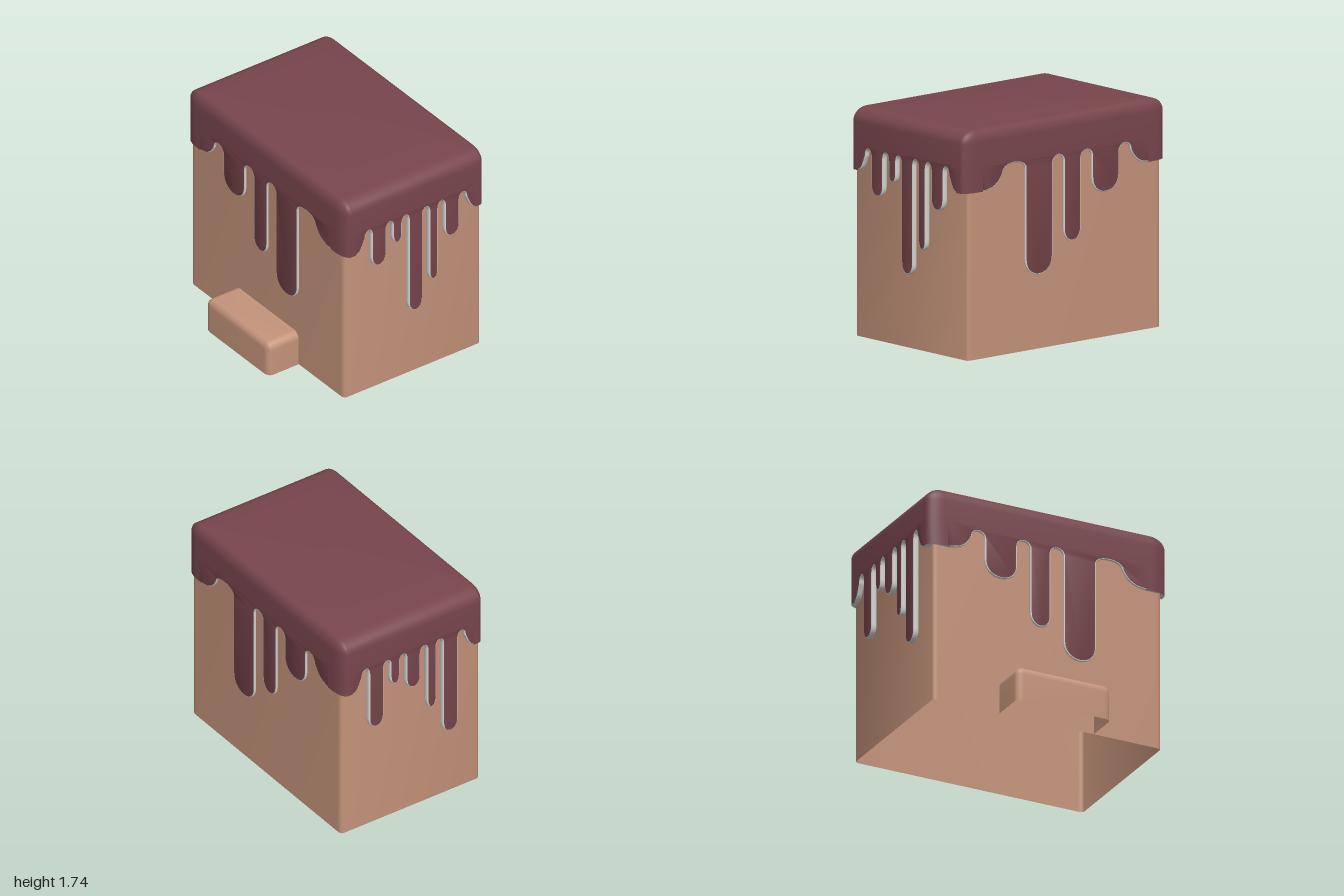
import * as THREE from 'three';
import { toCreasedNormals } from 'three/addons/utils/BufferGeometryUtils.js';

const mat = (name, color, side = THREE.FrontSide) => {
  const m = new THREE.MeshStandardMaterial({ color, side });
  m.name = name;
  return m;
};

const LOW = 1.27;      // plain lower edge of the icing
const ARCH = 1.39;     // where the arches between drips begin
const TOP = 1.5;       // panels run up behind the cap to here
const HX = 1, HZ = 0.65, RX = 0.13, RZ = 0.06;   // icing half sizes and corner radii

// Corner points of an elliptical quarter, in order
function quarter(cx, cz, rx, rz, start, n = 8) {
  return Array.from({ length: n + 1 }, (_, i) => {
    const a = start + (i / n) * Math.PI / 2;
    return [cx + rx * Math.cos(a), cz + rz * Math.sin(a)];
  });
}

// Rounded-rectangle outline
function outline(hx, hz, rx, rz) {
  const signs = [[1, 1], [-1, 1], [-1, -1], [1, -1]];
  return signs.flatMap(([sx, sz], i) =>
    quarter(sx * (hx - rx), sz * (hz - rz), rx, rz, i * Math.PI / 2));
}

// Box open underneath, with rounded uprights and an optional rounded top (ry)
function openBox(hx, hz, y0, y1, rx, rz, ry = 0) {
  const rings = [[y0, 0]];
  if (ry) for (let i = 0; i <= 8; i++) rings.push([y1 - ry, (i / 8) * 1.56]);
  else rings.push([y1, 0]);
  const pos = [], index = [];
  let n = 0;
  for (const [y, a] of rings) {
    const c = Math.cos(a);
    const pts = outline(hx - rx * (1 - c), hz - rz * (1 - c), rx * c, rz * c);
    n = pts.length;
    for (const [x, z] of pts) pos.push(x, y + ry * Math.sin(a), z);
  }
  for (let r = 0; r < rings.length - 1; r++) {
    for (let i = 0; i < n; i++) {
      const a = r * n + i, b = r * n + (i + 1) % n;
      index.push(a, a + n, b, b, a + n, b + n);
    }
  }
  const last = (rings.length - 1) * n;
  pos.push(0, y1, 0);
  for (let i = 0; i < n; i++) index.push(last + n, last + (i + 1) % n, last + i);
  const g = new THREE.BufferGeometry();
  g.setAttribute('position', new THREE.Float32BufferAttribute(pos, 3));
  g.setIndex(index);
  return g;
}

// Icing panel with drips; each drip is [left, right, tip height]
function dripPanel({ half, lowL, archL, drips, archR, lowR, inner, outer, bevel }) {
  const s = new THREE.Shape();
  s.moveTo(-half, TOP);
  s.lineTo(-half, LOW);
  s.lineTo(lowL, LOW);
  s.bezierCurveTo(lowL + (archL - lowL) * 0.6, LOW, archL - 0.03, 1.33, archL, ARCH);
  let x = archL;
  const arch = (to) => s.bezierCurveTo(x, ARCH + 0.073, to, ARCH + 0.073, to, ARCH);
  for (const [x0, x1, tip] of drips) {
    const h = 0.05 + (x1 - x0) * 0.3;
    arch(x0);
    s.lineTo(x0, tip + h);
    s.bezierCurveTo(x0, tip - h / 3, x1, tip - h / 3, x1, tip + h);
    s.lineTo(x1, ARCH);
    x = x1;
  }
  arch(archR);
  s.bezierCurveTo(archR + 0.03, 1.33, archR + (lowR - archR) * 0.4, LOW, lowR, LOW);
  s.lineTo(half, LOW);
  s.lineTo(half, TOP);
  const g = new THREE.ExtrudeGeometry(s, {
    depth: outer - inner - 2 * bevel, bevelEnabled: true, bevelThickness: bevel,
    bevelSize: 0.01, bevelOffset: -0.01, bevelSegments: 3, curveSegments: 14,
  });
  g.translate(0, 0, inner + bevel);
  return toCreasedNormals(g, 0.7);
}

export function createModel() {
  const biscuit = mat('biscuit', 0xc4937a, THREE.DoubleSide);
  const icing = mat('icing', 0x78464c);
  const rim = mat('icing rim', 0xd6d6d2);
  const model = new THREE.Group();
  model.name = 'icedHouse';

  const add = (parent, name, geometry, material) => {
    const m = new THREE.Mesh(geometry, material);
    m.name = name;
    parent.add(m);
    return m;
  };

  // Body, hollow and open underneath
  add(model, 'body', toCreasedNormals(openBox(0.955, 0.63, 0, 1.6, 0.04, 0.025), 0.6), biscuit)
    .position.z = -0.13;

  // Doorstep, its back flattened against the wall
  const step = openBox(0.395, 0.17, 0, 0.28, 0.06, 0.04, 0.06);
  step.translate(-0.005, 0, 0.61);
  const p = step.attributes.position;
  for (let i = 0; i < p.count; i++) p.setZ(i, Math.max(p.getZ(i), 0.501));
  add(model, 'doorstep', toCreasedNormals(step, 0.6), biscuit);

  // Icing cap
  const frosting = new THREE.Group();
  frosting.name = 'frosting';
  frosting.position.z = -0.13;
  model.add(frosting);
  add(frosting, 'icingCap', toCreasedNormals(openBox(HX, HZ, 1.455, 1.74, RX, RZ, 0.1), 0.6), icing);

  // Corner pieces
  for (const sx of [1, -1]) for (const sz of [1, -1]) {
    const pts = [[HX, 0.55], ...quarter(HX - RX, HZ - RZ, RX, RZ, 0), [0.82, HZ],
      [0.82, 0.631], [0.945, 0.631], [0.956, 0.62], [0.956, 0.55]];
    const shape = new THREE.Shape(pts.map(([x, z]) => new THREE.Vector2(sx * x, -sz * z)));
    const g = new THREE.ExtrudeGeometry(shape, { depth: TOP - LOW, bevelEnabled: false });
    g.rotateX(-Math.PI / 2);
    g.translate(0, LOW, 0);
    add(frosting, 'icingCorner', toCreasedNormals(g, 0.6), [rim, icing]);
  }

  // Front and back drips line up with each other
  const front = [[-0.53, -0.26, 1.1], [-0.15, 0.02, 0.775], [0.13, 0.4, 0.565]];
  const long = { half: 0.85, inner: 0.631, outer: HZ, bevel: 0.007 };
  add(frosting, 'frontDrips', dripPanel({
    ...long, lowL: -0.83, archL: -0.64, drips: front, archR: 0.62, lowR: 0.82,
  }), [icing, rim]);
  add(frosting, 'backDrips', dripPanel({
    ...long, lowL: -0.82, archL: -0.62, archR: 0.64, lowR: 0.83,
    drips: front.map(([a, b, t]) => [-b, -a, t]).reverse(),
  }), [icing, rim]).rotation.y = Math.PI;

  // Side drips share their spacing but not their lengths
  const spans = [[-0.405, -0.27], [-0.21, -0.125], [-0.065, 0.065], [0.125, 0.207], [0.267, 0.405]];
  const sides = [
    ['leftDrips', Math.PI / 2, [1.1, 1.235, 0.565, 0.775, 1.1]],
    ['rightDrips', -Math.PI / 2, [0.89, 1.21, 1.11, 0.86, 0.575]],
  ];
  for (const [name, turn, tips] of sides) {
    add(frosting, name, dripPanel({
      half: 0.57, lowL: -0.56, archL: -0.465, archR: 0.465, lowR: 0.56,
      drips: spans.map(([a, b], i) => [a, b, tips[i]]),
      inner: 0.956, outer: HX, bevel: 0.014,
    }), [icing, rim]).rotation.y = turn;
  }
  return model;
}
